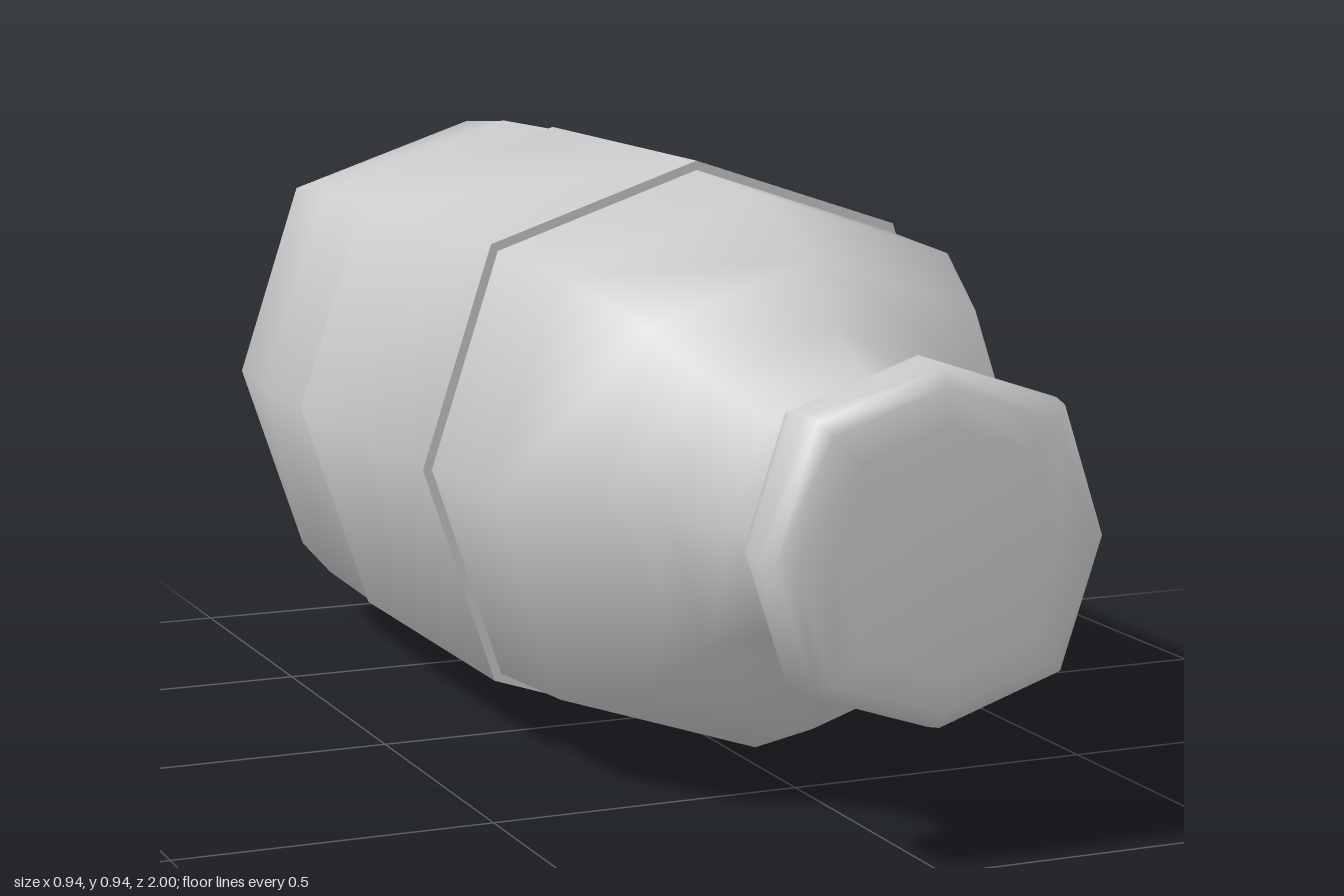
import * as THREE from 'three';
import { mergeVertices, toCreasedNormals } from 'three/addons/utils/BufferGeometryUtils.js';

const AXIS_Y = 0.472;
const material = new THREE.MeshStandardMaterial({ color: 0xcccccc });

// Eight-sided turned part lying along z; profile is [radius, z] from back to front
function turnedPart(name, profile) {
  const points = profile.map(([r, z]) => new THREE.Vector2(r, z));
  let geometry = new THREE.LatheGeometry(points, 8);
  geometry.rotateX(Math.PI / 2);
  // The diagonal corners stand slightly further out than the others
  const pos = geometry.attributes.position;
  for (let i = 0; i < pos.count; i++) {
    const x = pos.getX(i), y = pos.getY(i);
    const k = Math.abs(x * y) > 1e-6 ? 1.0607 : 1;
    pos.setXY(i, x * k, y * k);
  }
  geometry.deleteAttribute('uv');
  geometry.deleteAttribute('normal');
  geometry = toCreasedNormals(mergeVertices(geometry, 1e-4), 1.3);
  const mesh = new THREE.Mesh(geometry, material);
  mesh.name = name;
  mesh.position.y = AXIS_Y;
  return mesh;
}

export function createModel() {
  const bottle = new THREE.Group();
  bottle.name = 'bottle';

  // Body with rounded base, shoulder and neck
  bottle.add(turnedPart('body', [
    [0, -1], [0.2, -0.997], [0.33, -0.987], [0.443, -0.955], [0.461, -0.75],
    [0.466, -0.515], [0.455, 0.115], [0.442, 0.35], [0.362, 0.56],
    [0.27, 0.63], [0.216, 0.73], [0.2, 0.82], [0.2, 0.87],
  ]));

  // Label sleeve around the middle
  bottle.add(turnedPart('labelSleeve', [
    [0.45, -0.515], [0.47, -0.515], [0.47, 0.115], [0.443, 0.115],
  ]));

  // Cap with rounded rims
  bottle.add(turnedPart('cap', [
    [0.19, 0.82], [0.203, 0.825], [0.226, 0.85], [0.255, 0.865], [0.267, 0.9],
    [0.267, 0.945], [0.26, 0.98], [0.235, 0.995], [0.18, 1], [0, 1],
  ]));

  return bottle;
}
